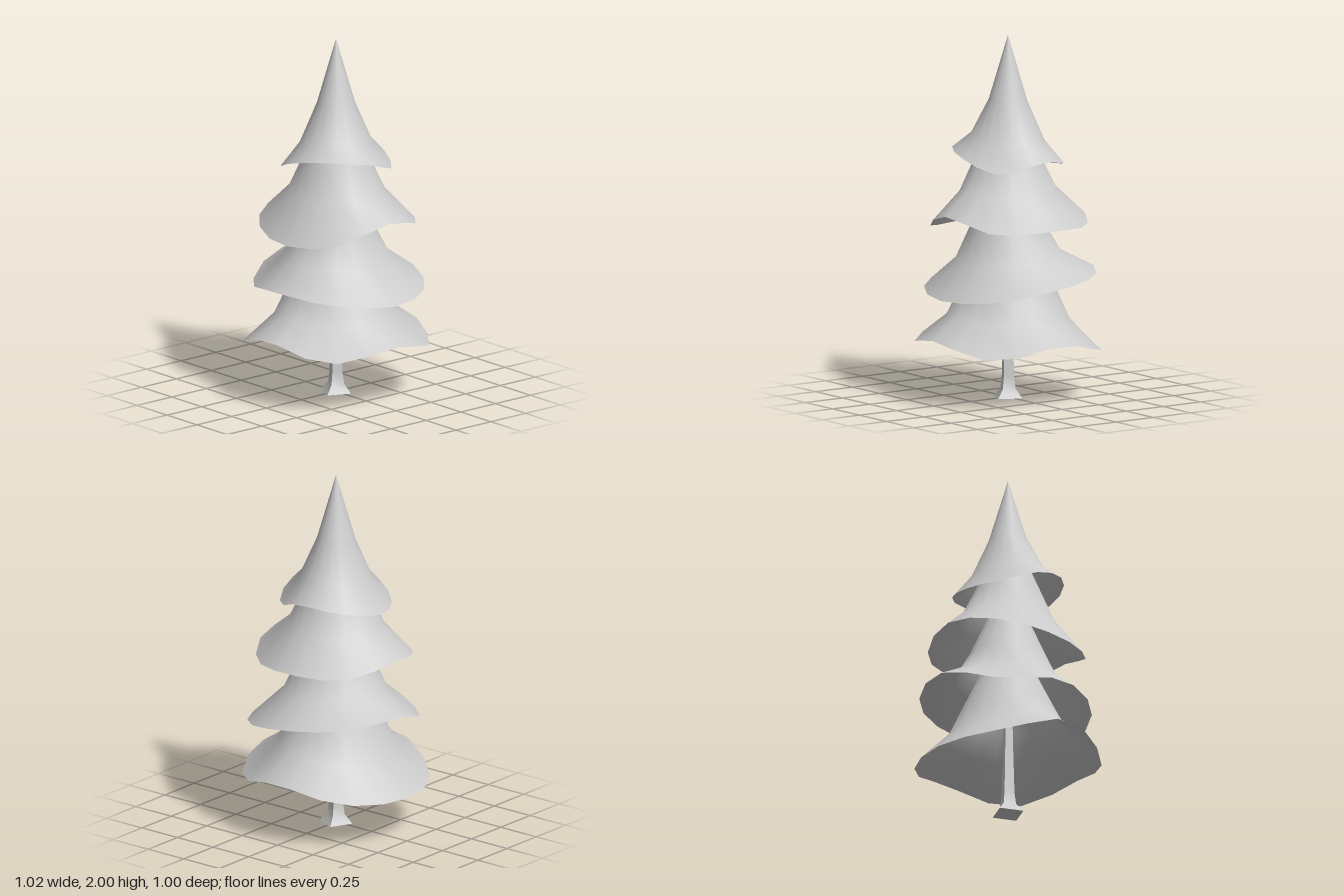
import * as THREE from 'three';
import { toCreasedNormals } from 'three/addons/utils/BufferGeometryUtils.js';

const SIDES = 18;
const material = new THREE.MeshStandardMaterial({ color: 0xcccccc, side: THREE.DoubleSide });

// Smooth periodic interpolation through evenly spaced values, t in 0..1
function wave(values, t) {
  const n = values.length, f = t * n, i = Math.floor(f), u = f - i;
  const [a, b, c, d] = [-1, 0, 1, 2].map(k => values[(i + k + n) % n]);
  return b + 0.5 * u * (c - a + u * (2 * a - 5 * b + 4 * c - d + u * (3 * (b - c) + d - a)));
}

// Flared cone with a wavy open hem.
// rings: [radius, height, share of the hem wave], from tip to hem
function branchTier({ rings, hem, shiftZ }) {
  const mean = hem.reduce((s, v) => s + v, 0) / hem.length;
  const positions = [], indices = [];
  rings.forEach(([r, y, share], i) => {
    for (let j = 0; j < SIDES; j++) {
      const t = j / SIDES, a = t * Math.PI * 2;
      positions.push(r * Math.cos(a), y + share * (wave(hem, t) - mean), r * Math.sin(a) + shiftZ * share);
      if (i === rings.length - 1) continue;
      const p = i * SIDES + j, q = i * SIDES + (j + 1) % SIDES;
      if (i > 0) indices.push(p, q, p + SIDES);
      indices.push(q, q + SIDES, p + SIDES);
    }
  });
  const geometry = new THREE.BufferGeometry();
  geometry.setAttribute('position', new THREE.Float32BufferAttribute(positions, 3));
  geometry.setIndex(indices);
  geometry.computeVertexNormals();
  return geometry;
}

// Hem heights run round from +x through +z, -x and -z
const TIERS = [
  { name: 'bottomBranches', shiftZ: 0,
    hem: [0.36, 0.30, 0.385, 0.275, 0.25, 0.27, 0.35, 0.28],
    rings: [[0, 1.15, 0], [0.265, 0.60, 0.1], [0.34, 0.45, 0.4], [0.51, 0.309, 1]] },
  { name: 'lowerMiddleBranches', shiftZ: -0.02,
    hem: [0.58, 0.615, 0.65, 0.61, 0.71, 0.69, 0.66, 0.60],
    rings: [[0, 1.42, 0], [0.22, 0.92, 0.1], [0.29, 0.78, 0.35], [0.47, 0.639, 1]] },
  { name: 'upperMiddleBranches', shiftZ: -0.01,
    hem: [1.04, 0.935, 0.92, 0.975, 1.02, 0.965, 0.975, 0.965],
    rings: [[0, 1.75, 0], [0.19, 1.31, 0.1], [0.265, 1.15, 0.35], [0.43, 0.974, 1]] },
  { name: 'topBranches', shiftZ: 0,
    hem: [1.345, 1.38, 1.35, 1.27, 1.26, 1.30, 1.33, 1.275],
    rings: [[0, 2, 0], [0.105, 1.64, 0.1], [0.2, 1.43, 0.5], [0.305, 1.314, 1]] },
];

export function createModel() {
  const tree = new THREE.Group();
  tree.name = 'firTree';

  for (const tier of TIERS) {
    const mesh = new THREE.Mesh(branchTier(tier), material);
    mesh.name = tier.name;
    tree.add(mesh);
  }

  // Four-sided trunk flaring into a closed square foot
  const profile = [[0, 0], [0.095, 0], [0.05, 0.05], [0.04, 0.12], [0.032, 0.38], [0.02, 0.9]];
  const trunkGeometry = new THREE.LatheGeometry(profile.map(p => new THREE.Vector2(...p)), 4, 0.35);
  const trunk = new THREE.Mesh(toCreasedNormals(trunkGeometry, 0.7), material);
  trunk.name = 'trunk';
  tree.add(trunk);

  return tree;
}
